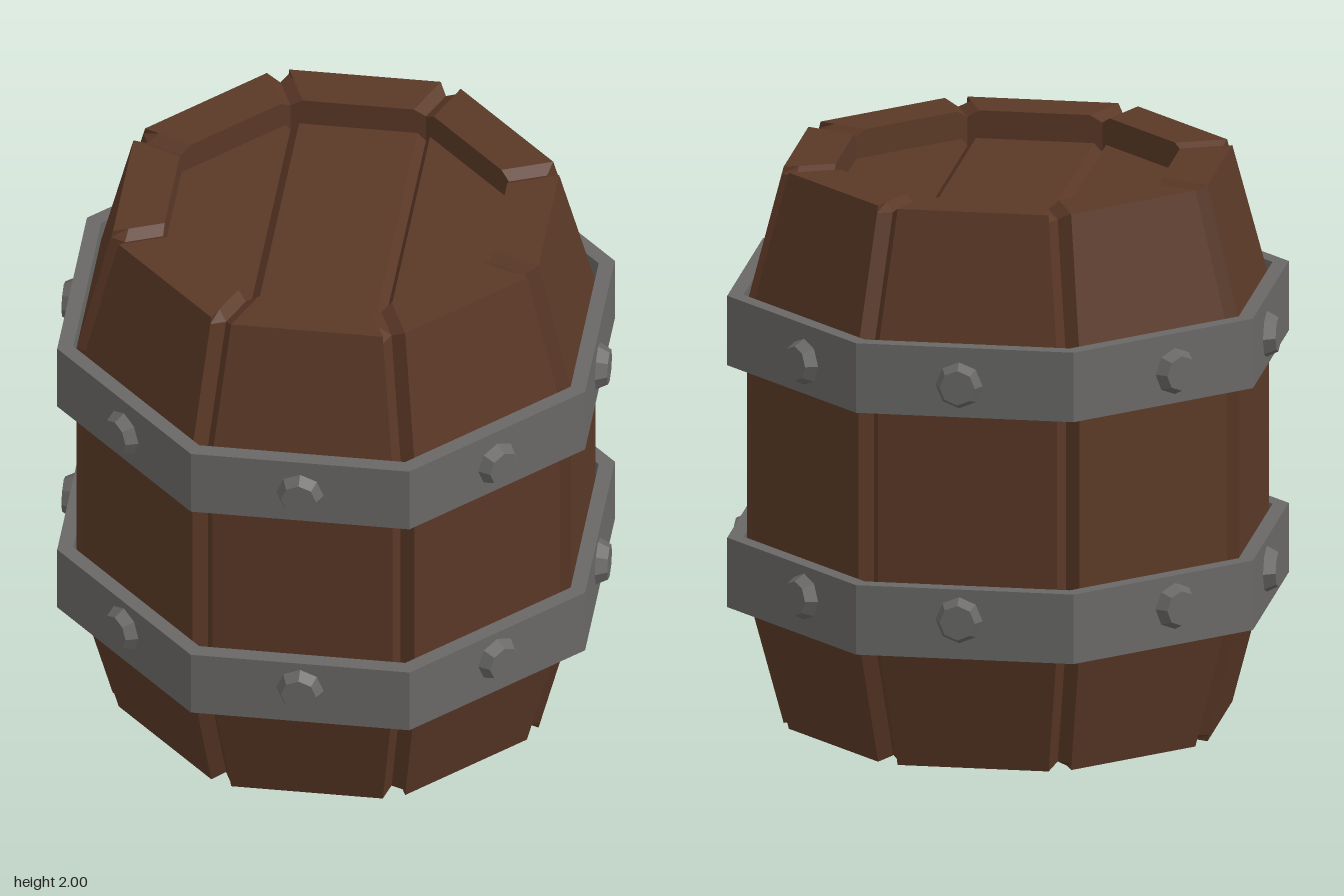
import * as THREE from 'three';

const wood = new THREE.MeshStandardMaterial({ color: 0x5a3826, flatShading: true });
wood.name = 'brown wood';
const iron = new THREE.MeshStandardMaterial({ color: 0x696866, flatShading: true });
iron.name = 'grey iron';

const SIDES = 8;
const HALF = Math.PI / SIDES;
const sideAngle = (k) => HALF + k * 2 * HALF;

// One stave facing +x, lofted through cross-sections; chamfers form the V grooves.
function staveGeometry() {
  const gap = 0.04, inner = 0.573, notch = 0.025;
  const endA = 0.745, midA = 0.865, bend = 0.48;
  const apothem = (y) => {
    const d = Math.min(y, 2 - y);
    return d >= bend ? midA : endA + (midA - endA) * d / bend;
  };
  const width = (a, g) => a * Math.tan(HALF) - g / Math.cos(HALF);
  const levels = [0, notch, bend, 2 - bend, 2 - notch, 2];
  const pos = [], index = [];
  levels.forEach((y, i) => {
    const g = i === 0 || i === levels.length - 1 ? gap : 0;
    const a = apothem(y);
    const half = [[inner, width(inner, g)], [a - 0.052, width(a - 0.052, g)], [a, width(a, gap)]];
    half.forEach(([x, w]) => pos.push(x, y, -w));
    half.reverse().forEach(([x, w]) => pos.push(x, y, w));
  });
  const n = 6, top = (levels.length - 1) * n;
  for (let r = 0; r < levels.length - 1; r++) {
    for (let i = 0; i < n; i++) {
      const a = r * n + i, b = r * n + (i + 1) % n;
      index.push(a, a + n, b, b, a + n, b + n);
    }
  }
  for (let i = 1; i < n - 1; i++) {
    index.push(0, i, i + 1, top, top + i + 1, top + i);
  }
  const geo = new THREE.BufferGeometry();
  geo.setAttribute('position', new THREE.Float32BufferAttribute(pos, 3));
  geo.setIndex(index);
  const flat = geo.toNonIndexed();
  flat.computeVertexNormals();
  return flat;
}

const octagon = (r) => Array.from({ length: SIDES }, (_, k) =>
  new THREE.Vector2(r * Math.cos(2 * HALF * k), r * Math.sin(2 * HALF * k)));

function hoopGeometry() {
  const shape = new THREE.Shape(octagon(1));
  shape.holes.push(new THREE.Path(octagon(0.942)));
  return new THREE.ExtrudeGeometry(shape, { depth: 0.25, bevelEnabled: false }).rotateX(-Math.PI / 2);
}

// Lid board with chamfered edges, top surface at y = 0
function boardGeometry(points) {
  const b = 0.03;
  const shape = new THREE.Shape(points.map(([x, y]) => new THREE.Vector2(x, y)));
  return new THREE.ExtrudeGeometry(shape, {
    depth: 0.04, bevelThickness: b, bevelSize: b, bevelOffset: -b, bevelSegments: 1,
  }).translate(0, 0, -0.04 - b).rotateX(-Math.PI / 2);
}

export function createModel() {
  const barrel = new THREE.Group();
  barrel.name = 'barrel';
  const add = (parent, name, geo, mat) => {
    const mesh = new THREE.Mesh(geo, mat);
    mesh.name = name;
    parent.add(mesh);
    return mesh;
  };

  // Staves
  const staves = new THREE.Group();
  staves.name = 'staves';
  barrel.add(staves);
  const staveGeo = staveGeometry();
  for (let k = 0; k < SIDES; k++) {
    add(staves, 'stave', staveGeo, wood).rotation.y = -sideAngle(k);
  }

  // Recessed lid of three boards, and a plain bottom
  const lid = new THREE.Group();
  lid.name = 'lid';
  lid.position.y = 1.9;
  lid.rotation.y = HALF;
  barrel.add(lid);
  const c = 0.237;
  add(lid, 'middleBoard', boardGeometry([[-c, -0.66], [c, -0.66], [c, 0.66], [-c, 0.66]]), wood);
  const sideGeo = boardGeometry([[c, -0.66], [0.66, -0.24], [0.66, 0.24], [c, 0.66]]);
  add(lid, 'sideBoard', sideGeo, wood);
  add(lid, 'sideBoard', sideGeo, wood).rotation.y = Math.PI;
  add(barrel, 'bottom', new THREE.CylinderGeometry(0.68, 0.68, 0.06, SIDES), wood).position.y = 0.13;

  // Hoops with slightly uneven bolts
  const hoopGeo = hoopGeometry();
  const boltGeo = new THREE.CylinderGeometry(0.062, 0.085, 0.045, 8).rotateZ(-Math.PI / 2);
  const shifts = [0, 0, 0, 0.085, -0.05, 0.02, -0.075, 0.05];
  for (const y of [0.44, 1.31]) {
    const hoop = new THREE.Group();
    hoop.name = y < 1 ? 'lowerHoop' : 'upperHoop';
    hoop.position.y = y;
    barrel.add(hoop);
    add(hoop, 'hoopBand', hoopGeo, iron);
    shifts.forEach((s, k) => {
      const a = sideAngle(k), r = 0.942;
      const bolt = add(hoop, 'bolt', boltGeo, iron);
      bolt.position.set(r * Math.cos(a) - s * Math.sin(a), y < 1 ? 0.14 : 0.115, r * Math.sin(a) + s * Math.cos(a));
      bolt.rotation.y = -a;
    });
  }
  return barrel;
}
